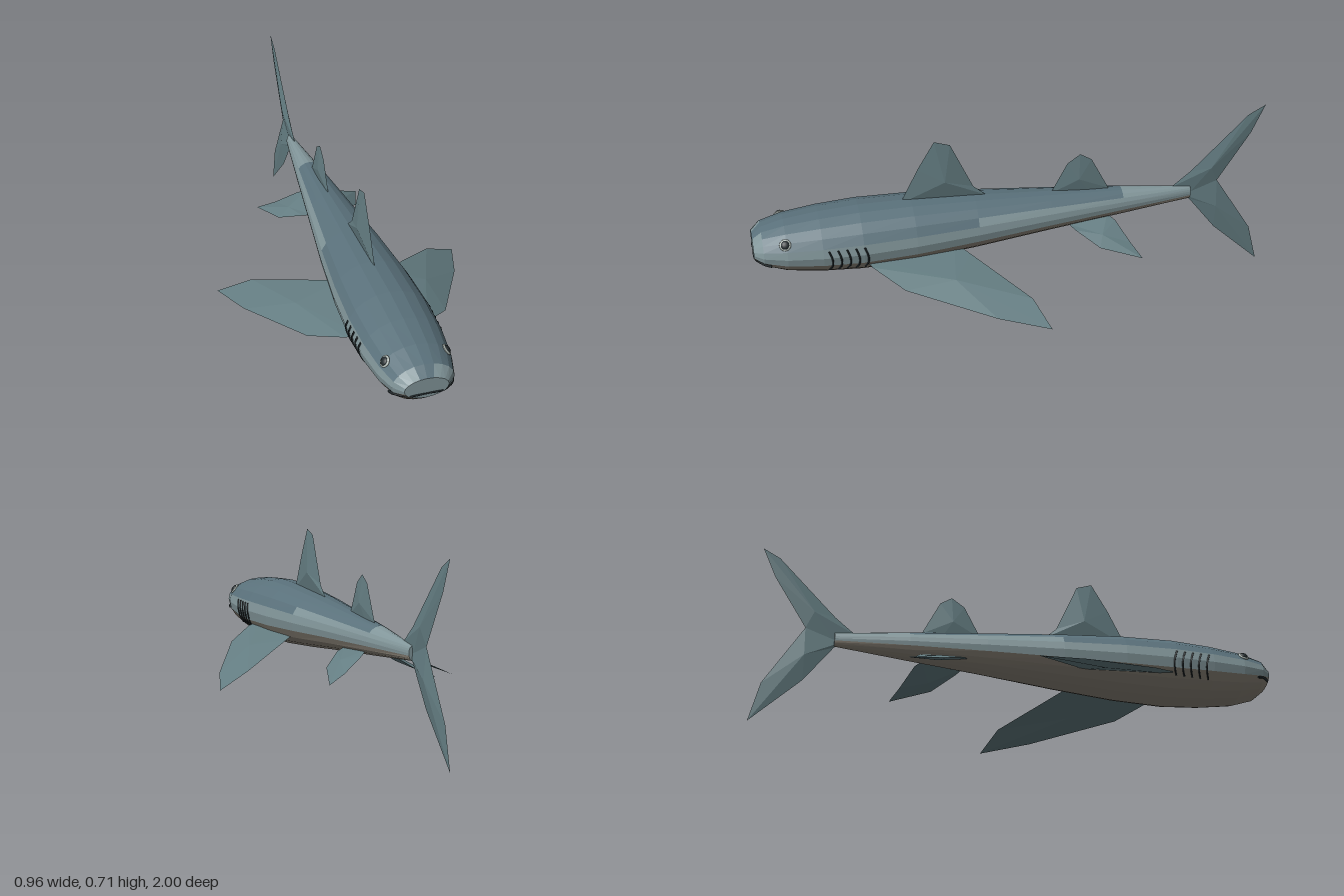
import * as THREE from 'three';

const mat = (color, flatShading = true) =>
  new THREE.MeshStandardMaterial({ color, flatShading, side: THREE.DoubleSide });

// Body stations: z, centre height, half width, half height
const STATIONS = [
  [1.0, 0.36, 0.08, 0.04], [0.965, 0.361, 0.112, 0.073], [0.88, 0.358, 0.135, 0.098],
  [0.75, 0.356, 0.15, 0.115], [0.6, 0.355, 0.156, 0.125], [0.4, 0.356, 0.147, 0.121],
  [0.16, 0.358, 0.124, 0.104], [-0.13, 0.36, 0.088, 0.079], [-0.42, 0.36, 0.052, 0.055],
  [-0.7, 0.357, 0.015, 0.027],
];
const SIDES = 20;

// Body section at any z
function section(z) {
  let i = 0;
  while (i < STATIONS.length - 2 && z < STATIONS[i + 1][0]) i++;
  const a = STATIONS[i], b = STATIONS[i + 1];
  const t = (a[0] - z) / (a[0] - b[0]);
  return a.map((v, k) => v + (b[k] - v) * t);
}

// Point on the right or left flank at a given height and z
function onSkin(side, y, z, lift = 0) {
  const [, cy, rx, ry] = section(z);
  const s = Math.min(1, Math.abs(y - cy) / ry);
  return new THREE.Vector3(side * (rx * Math.sqrt(1 - s * s) + lift), y, z);
}

function geometryFrom(positions) {
  const g = new THREE.BufferGeometry();
  g.setAttribute('position', new THREE.Float32BufferAttribute(positions, 3));
  g.computeVertexNormals();
  return g;
}

// Lofted body split into dark back, pale flanks and belly
function makeBody() {
  const parts = { back: [], flank: [], belly: [] };
  const colors = { back: 0x5a717b, flank: 0x82969a, belly: 0x8f887c };
  const ringPoint = (i, j) => {
    const [z, cy, rx, ry] = STATIONS[i];
    const a = (j / SIDES) * Math.PI * 2;
    return [rx * Math.cos(a), cy + ry * Math.sin(a), z];
  };
  for (let i = 0; i < STATIONS.length - 1; i++) {
    const z = STATIONS[i][0];
    const backFrom = z > 0.97 ? 0.9 : z > 0.2 ? 0.28 : z > -0.4 ? 0.65 : 2;
    for (let j = 0; j < SIDES; j++) {
      const h = Math.sin(((j + 0.5) / SIDES) * Math.PI * 2);
      const part = h > backFrom ? 'back' : h < -0.35 ? 'belly' : 'flank';
      const a = ringPoint(i, j), b = ringPoint(i, j + 1);
      const c = ringPoint(i + 1, j + 1), d = ringPoint(i + 1, j);
      parts[part].push(...a, ...c, ...b, ...a, ...d, ...c);
    }
  }
  // Snout and tail-stalk caps
  const last = STATIONS.length - 1;
  for (let j = 0; j < SIDES; j++) {
    const [z0, y0] = STATIONS[0], [z1, y1] = STATIONS[last];
    parts.flank.push(0, y0, z0, ...ringPoint(0, j), ...ringPoint(0, j + 1));
    parts.flank.push(0, y1, z1, ...ringPoint(last, j + 1), ...ringPoint(last, j));
  }
  const body = new THREE.Group();
  body.name = 'body';
  for (const key in parts) {
    const mesh = new THREE.Mesh(geometryFrom(parts[key]), mat(colors[key]));
    mesh.name = key;
    body.add(mesh);
  }
  return body;
}

// Fin: sharp outline rising to a ridge point on both faces
function makeFin(name, outline, centre, offset) {
  const pos = [];
  for (const s of [1, -1]) {
    const ridge = centre.map((v, k) => v + s * offset[k]);
    outline.forEach((p, i) => {
      const q = outline[(i + 1) % outline.length];
      pos.push(...ridge, ...(s > 0 ? p : q), ...(s > 0 ? q : p));
    });
  }
  const mesh = new THREE.Mesh(geometryFrom(pos), mat(0x647d82));
  mesh.name = name;
  return mesh;
}

// Upright fin from (z, y) pairs
const uprightFin = (name, pairs, [cz, cy], thick) =>
  makeFin(name, pairs.map(([z, y]) => [0, y, z]), [0, cy, cz], [thick, 0, 0]);

// Side fin mirrored by side = 1 or -1
const sideFin = (name, points, [cx, cy, cz], thick, side) =>
  makeFin(name, points.map(([x, y, z]) => [side * x, y, z]), [side * cx, cy, cz],
    [side * thick * 0.4, thick, 0]);

function makeTube(name, points, radius, material) {
  const curve = new THREE.CatmullRomCurve3(points);
  const mesh = new THREE.Mesh(new THREE.TubeGeometry(curve, 16, radius, 5), material);
  mesh.name = name;
  return mesh;
}

export function createModel() {
  const model = new THREE.Group();
  model.name = 'shark';
  const dark = mat(0x20282b, false);
  model.add(makeBody());

  // Fins along the back
  model.add(uprightFin('dorsalFin',
    [[0.44, 0.46], [0.37, 0.6], [0.305, 0.71], [0.245, 0.69], [0.16, 0.5], [0.11, 0.455]],
    [0.27, 0.54], 0.016));
  model.add(uprightFin('secondDorsalFin',
    [[-0.14, 0.425], [-0.205, 0.55], [-0.255, 0.585], [-0.3, 0.557], [-0.37, 0.42], [-0.3, 0.4]],
    [-0.25, 0.48], 0.011));

  // Forked tail
  model.add(uprightFin('upperTailLobe',
    [[-0.62, 0.385], [-0.7, 0.45], [-0.92, 0.675], [-0.985, 0.71], [-0.935, 0.595],
      [-0.81, 0.395], [-0.7, 0.35]], [-0.78, 0.46], 0.012));
  model.add(uprightFin('lowerTailLobe',
    [[-0.66, 0.355], [-0.81, 0.395], [-0.96, 0.155], [-1, 0], [-0.81, 0.18], [-0.7, 0.325]],
    [-0.81, 0.28], 0.011));

  for (const side of [1, -1]) {
    const tag = side > 0 ? 'left' : 'right';

    // Paired fins
    model.add(sideFin(tag + 'PectoralFin',
      [[0.1, 0.31, 0.6], [0.155, 0.295, 0.575], [0.265, 0.25, 0.47], [0.42, 0.182, 0.155],
        [0.48, 0.147, -0.035], [0.355, 0.205, 0.01], [0.13, 0.285, 0.2], [0.07, 0.305, 0.25]],
      [0.25, 0.25, 0.28], 0.012, side));
    model.add(sideFin(tag + 'PelvicFin',
      [[0.05, 0.31, -0.2], [0.085, 0.3, -0.22], [0.16, 0.255, -0.3], [0.21, 0.218, -0.455],
        [0.14, 0.25, -0.425], [0.055, 0.305, -0.385], [0.03, 0.32, -0.36]],
      [0.11, 0.275, -0.32], 0.009, side));

    // Gill slits
    for (let i = 0; i < 5; i++) {
      const z = 0.73 - i * 0.033;
      const pts = [0.385, 0.36, 0.335, 0.31, 0.29].map((y, k) =>
        onSkin(side, y, z - 0.012 * Math.sin((k / 4) * Math.PI)));
      model.add(makeTube(tag + 'GillSlit', pts, 0.0035, dark));
    }

    // Eye facing out and up
    const eye = new THREE.Group();
    eye.name = tag + 'Eye';
    const rim = new THREE.Mesh(new THREE.SphereGeometry(0.022, 16, 8), mat(0xa9b3ae, false));
    rim.name = 'eyeRim';
    rim.scale.z = 0.3;
    const pupil = new THREE.Mesh(new THREE.SphereGeometry(0.016, 16, 8), dark);
    pupil.name = 'pupil';
    pupil.scale.z = 0.5;
    pupil.position.z = 0.003;
    eye.add(rim, pupil);
    eye.position.copy(onSkin(side, 0.412, 0.885));
    eye.lookAt(eye.position.clone().add(new THREE.Vector3(side * 0.78, 0.6, 0.15)));
    model.add(eye);
  }

  // Mouth line wrapping the snout
  const half = [[0.062, 0.336, 0.996], [0.088, 0.335, 0.98], [0.108, 0.332, 0.96],
    [0.114, 0.328, 0.94]];
  const at = (s) => ([x, y, z]) => new THREE.Vector3(s * x, y, z);
  model.add(makeTube('mouth',
    [...half.map(at(-1)).reverse(), new THREE.Vector3(0, 0.337, 0.997), ...half.map(at(1))],
    0.005, dark));

  return model;
}
